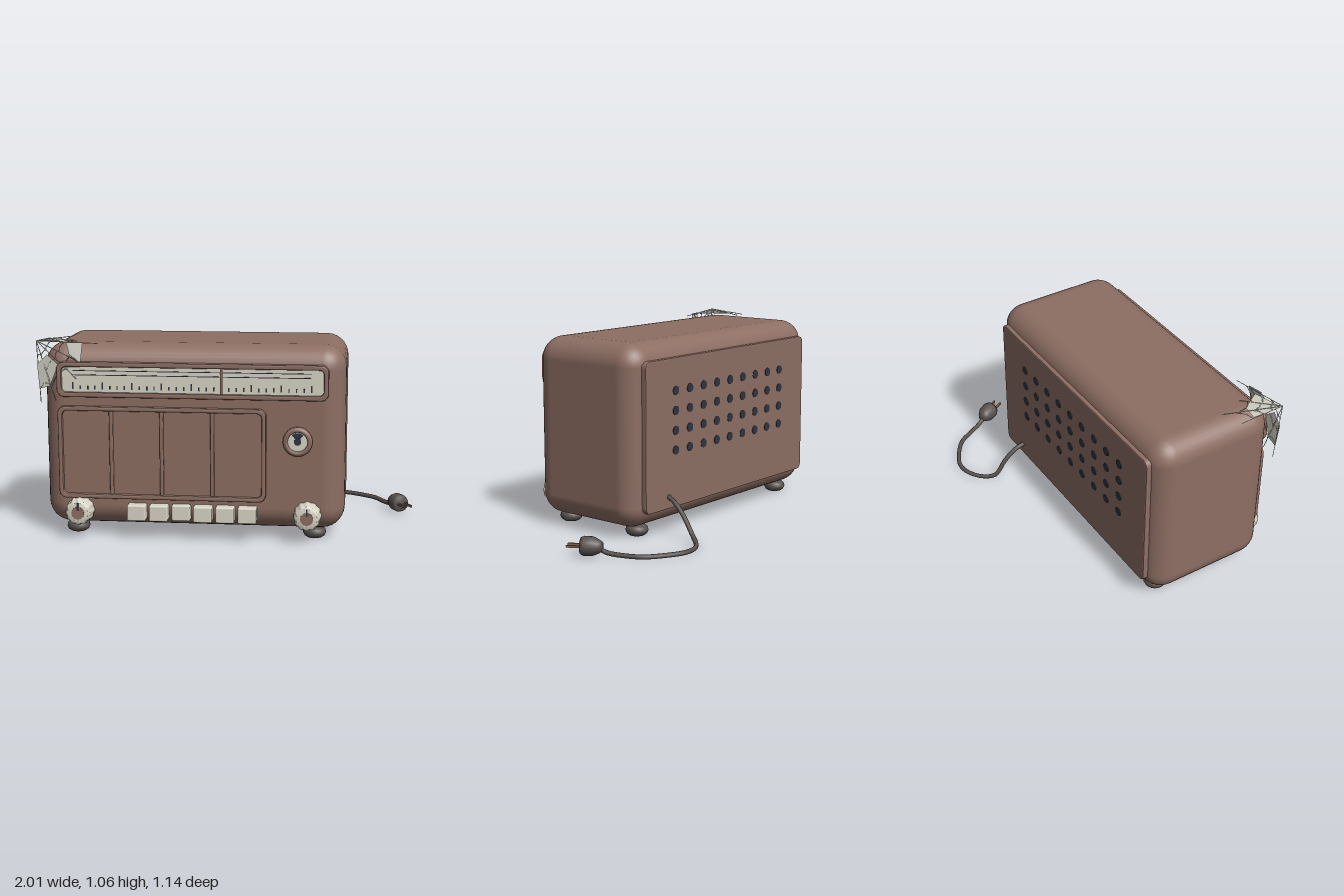
import * as THREE from 'three';
import { RoundedBoxGeometry } from 'three/addons/geometries/RoundedBoxGeometry.js';
import { toCreasedNormals } from 'three/addons/utils/BufferGeometryUtils.js';

const mat = (name, color, side = THREE.FrontSide) => {
  const m = new THREE.MeshStandardMaterial({ color, side });
  m.name = name;
  return m;
};

export function createModel() {
  const brown = mat('brown casing', 0x8d6e63);
  const cream = mat('cream', 0xd9d5c6);
  const rubber = mat('dark rubber', 0x59524f);
  const ink = mat('dark ink', 0x2e3440);
  const webGrey = mat('web grey', 0xcfcec2, THREE.DoubleSide);
  const copper = mat('copper', 0x8a6450);

  const root = new THREE.Group();
  root.name = 'tableRadio';
  const V = (x, y, z) => new THREE.Vector3(x, y, z);

  const add = (name, geo, material, x = 0, y = 0, z = 0, parent = root) => {
    const m = new THREE.Mesh(geo, material);
    m.name = name;
    m.position.set(x, y, z);
    parent.add(m);
    return m;
  };
  const box = (name, material, x, y, z, w, h, d, parent = root) =>
    add(name, new THREE.BoxGeometry(w, h, d), material, x, y, z, parent);
  const disc = (r, d, seg = 32) => new THREE.CylinderGeometry(r, r, d, seg).rotateX(Math.PI / 2);
  const lathe = (pts, seg) => new THREE.LatheGeometry(pts.map(p => new THREE.Vector2(...p)), seg);

  // Rounded rectangle outline between two corners
  const roundRect = (x0, y0, x1, y1, r, Type = THREE.Shape) => {
    const s = new Type();
    s.moveTo(x0 + r, y0);
    s.lineTo(x1 - r, y0).absarc(x1 - r, y0 + r, r, -Math.PI / 2, 0);
    s.lineTo(x1, y1 - r).absarc(x1 - r, y1 - r, r, 0, Math.PI / 2);
    s.lineTo(x0 + r, y1).absarc(x0 + r, y1 - r, r, Math.PI / 2, Math.PI);
    s.lineTo(x0, y0 + r).absarc(x0 + r, y0 + r, r, Math.PI, Math.PI * 1.5);
    return s;
  };
  const extrude = (shape, depth, bevel = 0) => new THREE.ExtrudeGeometry(shape, {
    depth: depth - 2 * bevel, curveSegments: 6, bevelEnabled: bevel > 0,
    bevelSize: bevel, bevelThickness: bevel, bevelOffset: -bevel, bevelSegments: 2,
  }).translate(0, 0, bevel);
  const frame = (name, x0, y0, x1, y1, r, w, z0, depth) => {
    const s = roundRect(x0, y0, x1, y1, r);
    s.holes.push(roundRect(x0 + w, y0 + w, x1 - w, y1 - w, r - w * 0.6, THREE.Path));
    add(name, extrude(s, depth, 0.007), brown, 0, 0, z0);
  };

  // Casing
  add('casing', new RoundedBoxGeometry(1.61, 0.99, 0.715, 4, 0.122), brown, -0.175, 0.55, 0.1275);

  // Tuning dial
  frame('dialFrame', -0.895, 0.765, 0.54, 0.952, 0.04, 0.026, 0.465, 0.05);
  add('dialFace', extrude(roundRect(-0.875, 0.785, 0.52, 0.932, 0.025), 0.02), cream, 0, 0, 0.475);
  for (const y of [0.882, 0.905]) box('dialLine', ink, -0.18, y, 0.496, 1.26, 0.004, 0.004);
  for (let i = 0; i <= 32; i++) {
    const h = i % 4 ? 0.02 : 0.038;
    box('dialTick', ink, -0.81 + i * 0.0394, 0.806 + h / 2, 0.496, 0.007, h, 0.004);
  }
  box('dialNeedle', copper, -0.02, 0.859, 0.5, 0.012, 0.14, 0.008);

  // Speaker panel
  frame('speakerFrame', -0.895, 0.215, 0.215, 0.715, 0.04, 0.024, 0.465, 0.047);
  add('speakerPanel', extrude(roundRect(-0.875, 0.235, 0.195, 0.695, 0.025), 0.015), brown, 0, 0, 0.475);
  for (const x of [-0.61, -0.34, -0.07])
    add('speakerBar', new RoundedBoxGeometry(0.02, 0.455, 0.024, 2, 0.007), brown, x, 0.465, 0.495);

  // Tuning eye
  const eye = new THREE.Group();
  eye.name = 'tuningEye';
  eye.position.set(0.38, 0.545, 0.485);
  root.add(eye);
  const ring = lathe([[0.052, 0], [0.052, 0.018], [0.058, 0.026], [0.07, 0.024], [0.078, 0.014], [0.078, -0.01]].reverse(), 32);
  add('eyeRing', ring.rotateX(Math.PI / 2), brown, 0, 0, 0, eye);
  add('eyeGlass', disc(0.054, 0.02), cream, 0, 0, 0, eye);
  add('eyeShadow', new THREE.CircleGeometry(0.047, 16, Math.PI * 0.27, Math.PI * 0.46), ink, 0, 0, 0.0115, eye);
  add('eyeCentre', disc(0.019, 0.006, 20), ink, 0, 0, 0.012, eye);

  // Scalloped knobs
  const knobGeo = () => {
    const g = lathe([[0, 0.085], [0.055, 0.085], [0.064, 0.078], [0.069, 0.06], [0.073, 0.012], [0.073, 0], [0, 0]].reverse(), 60);
    const p = g.attributes.position;
    for (let i = 0; i < p.count; i++) {
      const x = p.getX(i), z = p.getZ(i);
      const k = Math.hypot(x, z) > 0.06 ? 1 + 0.035 * Math.cos(12 * Math.atan2(z, x)) : 1;
      p.setXYZ(i, x * k, p.getY(i), z * k);
    }
    return toCreasedNormals(g.rotateX(Math.PI / 2), 0.7);
  };
  for (const x of [-0.785, 0.435]) {
    const knob = new THREE.Group();
    knob.name = 'knob';
    knob.position.set(x, 0.147, 0.482);
    root.add(knob);
    add('knobBody', knobGeo(), cream, 0, 0, 0, knob);
    add('knobCap', disc(0.034, 0.008), brown, 0, 0, 0.085, knob);
    box('knobPointer', ink, 0, 0.035, 0.087, 0.009, 0.04, 0.006, knob);
  }

  // Push buttons, the third one pressed in
  for (let i = 0; i < 6; i++) {
    const front = i === 2 ? 0.52 : 0.542;
    add('pushButton', new RoundedBoxGeometry(0.1, 0.087, 0.08, 2, 0.009), cream, -0.475 + i * 0.1185, 0.147, front - 0.04);
  }

  // Feet
  const foot = lathe([[0, 0], [0.04, 0], [0.055, 0.01], [0.063, 0.027], [0.058, 0.045], [0.045, 0.056], [0, 0.062]], 20);
  for (const x of [-0.825, 0.47]) for (const z of [0.37, -0.115]) add('foot', foot, rubber, x, 0, z);

  // Back panel with vent holes
  add('backPanel', extrude(roundRect(-0.905, 0.142, 0.55, 0.955, 0.035), 0.035, 0.006), brown, 0, 0, -0.25);
  for (let i = 0; i < 9; i++) for (let j = 0; j < 4; j++)
    add('ventHole', disc(0.025, 0.006, 14), ink, -0.66 + i * 0.1205, 0.455 + j * 0.108, -0.25);

  // Mains cord
  const cord = new THREE.CatmullRomCurve3([
    V(0.362, 0.215, -0.235), V(0.372, 0.185, -0.3), V(0.38, 0.125, -0.365), V(0.39, 0.035, -0.432),
    V(0.44, 0.014, -0.495), V(0.52, 0.014, -0.548), V(0.6, 0.014, -0.557), V(0.7, 0.014, -0.515),
    V(0.8, 0.014, -0.44), V(0.85, 0.016, -0.35), V(0.885, 0.025, -0.275), V(0.905, 0.045, -0.23)]);
  add('cord', new THREE.TubeGeometry(cord, 80, 0.0125, 8), rubber);

  // Plug
  const plug = new THREE.Group();
  plug.name = 'plug';
  plug.position.set(0.893, 0.054, -0.25);
  plug.rotation.y = Math.atan2(0.5, 0.86);
  root.add(plug);
  const plugBody = lathe([[0, 0], [0.024, 0], [0.036, 0.018], [0.05, 0.05], [0.051, 0.095], [0.044, 0.112], [0, 0.115]], 20);
  add('plugBody', plugBody.rotateX(Math.PI / 2), rubber, 0, 0, 0, plug);
  for (const x of [-0.021, 0.021]) box('plugPin', copper, x, 0, 0.147, 0.01, 0.012, 0.075, plug);

  // Cobweb on the corner: strands, sagging rungs and a few filled sheets
  const web = new THREE.Group();
  web.name = 'cobweb';
  root.add(web);
  const strand = (pts) =>
    add('webStrand', new THREE.TubeGeometry(new THREE.CatmullRomCurve3(pts), 6, 0.0022, 4), webGrey, 0, 0, 0, web);
  const O = V(-0.997, 1.062, 0.508);
  const ends = [
    V(-0.985, 0.73, 0.49), V(-0.905, 0.74, 0.492), V(-0.79, 0.86, 0.495), V(-0.76, 0.945, 0.495),
    V(-0.68, 1.045, 0.46), V(-0.83, 1.05, 0.36), V(-0.88, 1.05, 0.22), V(-0.985, 1.045, 0.26)];
  for (const e of ends) strand([O, e]);
  const rung = (a, b, t) => {
    const p = O.clone().lerp(a, t), q = O.clone().lerp(b, t * 0.93);
    strand([p, p.clone().add(q).multiplyScalar(0.5).lerp(O, 0.08), q]);
  };
  for (let i = 0; i < ends.length - 1; i++)
    for (const t of [0.25, 0.5, 0.78]) rung(ends[i], ends[i + 1], t);
  const sheet = (pts) => {
    const g = new THREE.BufferGeometry().setFromPoints(pts);
    g.setIndex(pts.slice(2).flatMap((_, i) => [0, i + 1, i + 2]));
    g.computeVertexNormals();
    add('webSheet', g, webGrey, 0, 0, 0, web);
  };
  sheet([V(-0.84, 1.053, 0.498), V(-0.826, 0.99, 0.501), V(-0.767, 0.947, 0.496), V(-0.757, 1.053, 0.48)]);
  sheet([V(-0.944, 0.99, 0.506), V(-0.997, 0.936, 0.505), V(-0.99, 0.805, 0.495), V(-0.933, 0.82, 0.495), V(-0.885, 0.936, 0.5)]);
  sheet([V(-0.997, 1.06, 0.5), V(-0.83, 1.052, 0.465), V(-0.9, 1.053, 0.35), V(-0.985, 1.052, 0.335)]);

  return root;
}
